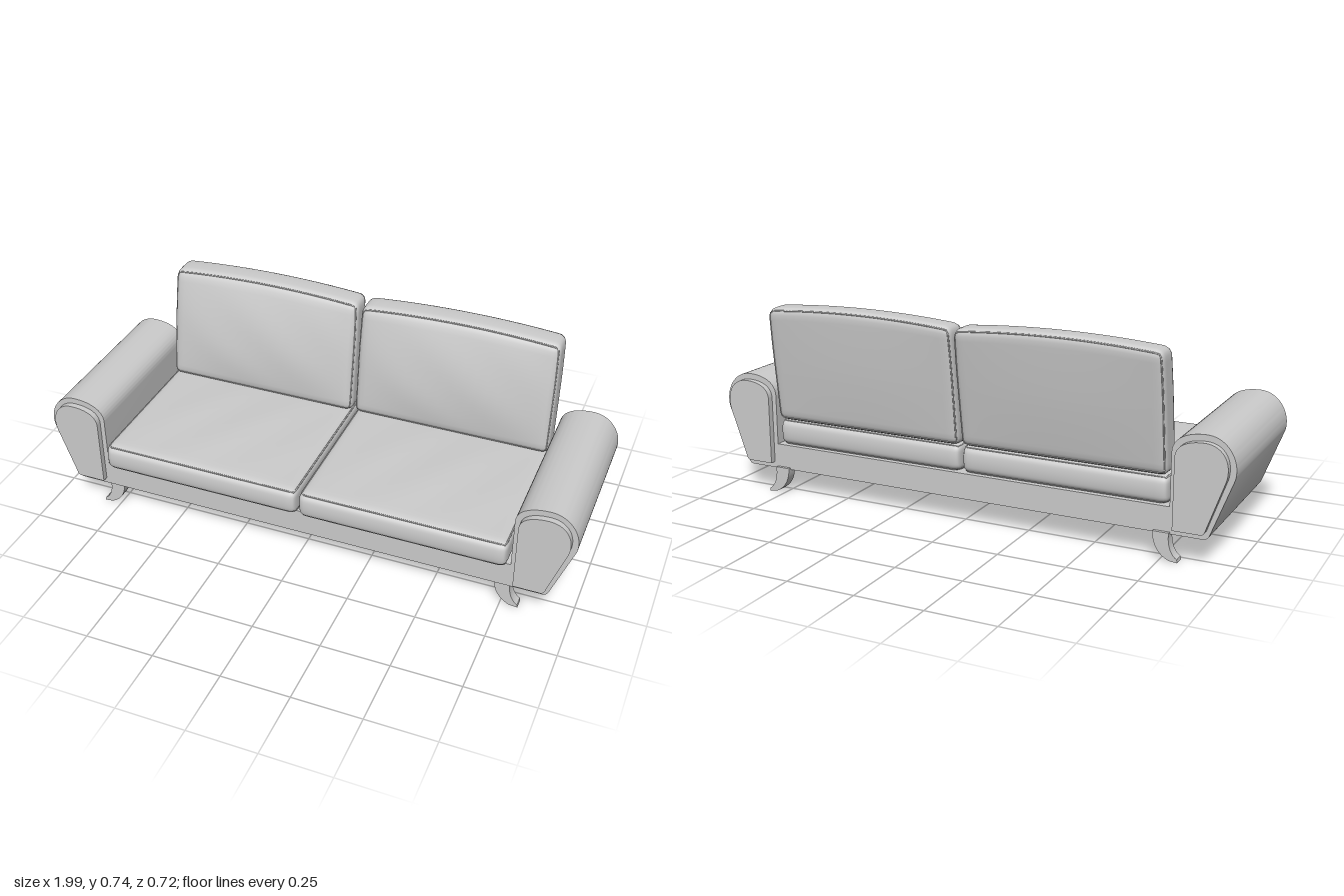
import * as THREE from 'three';
import { mergeVertices, toCreasedNormals } from 'three/addons/utils/BufferGeometryUtils.js';

const material = new THREE.MeshStandardMaterial({ color: 0xcccccc });

function add(parent, name, geometry) {
  const mesh = new THREE.Mesh(geometry, material);
  mesh.name = name;
  parent.add(mesh);
  return mesh;
}

// Maps a point of a unit cube (-1..1) onto a rounded box of half sizes h
function roundPoint(p, h, r) {
  const q = p.clone().multiply(h);
  const inner = new THREE.Vector3(h.x - r, h.y - r, h.z - r);
  const core = q.clone().clamp(inner.clone().negate(), inner);
  return core.add(q.sub(core).setLength(r));
}

// Soft cushion: rounded box swollen by a rule, with piping along two seams
function cushion(name, h, r, seamAxis, bend) {
  const group = new THREE.Group();
  group.name = name;
  const place = (p) => bend(roundPoint(p, h, r), p);

  let geometry = new THREE.BoxGeometry(2, 2, 2, 26, 20, 20);
  geometry.deleteAttribute('uv');
  geometry.deleteAttribute('normal');
  geometry = mergeVertices(geometry);
  const pos = geometry.attributes.position;
  const ease = (t) => Math.sin(t * Math.PI / 2);
  for (let i = 0; i < pos.count; i++) {
    const p = new THREE.Vector3(ease(pos.getX(i)), ease(pos.getY(i)), ease(pos.getZ(i)));
    const v = place(p);
    pos.setXYZ(i, v.x, v.y, v.z);
  }
  geometry.computeVertexNormals();
  add(group, 'cushionBody', geometry);

  // Piping follows the edges of the two large faces
  const corners = [[-1, -1], [1, -1], [1, 1], [-1, 1]];
  for (const side of [-1, 1]) {
    const points = [];
    for (let k = 0; k < 4; k++) {
      const [a, b] = corners[k], [c, d] = corners[(k + 1) % 4];
      for (let i = 0; i < 20; i++) {
        const t = (ease(i / 10 - 1) + 1) / 2;
        const s = a + (c - a) * t, u = b + (d - b) * t;
        points.push(place(seamAxis === 'z'
          ? new THREE.Vector3(s, u, side) : new THREE.Vector3(s, side, u)));
      }
    }
    const path = new THREE.CatmullRomCurve3(points, true);
    add(group, 'piping', new THREE.TubeGeometry(path, 160, 0.003, 6, true));
  }
  return group;
}

// Arm cross-section, mirrored by s and shrunk by d
function armShape(s, d) {
  const shape = new THREE.Shape();
  const b = 0.093 + d, t = 0.45 - d, inX = 0.778 + d * 0.8, outX = 1 - d;
  shape.moveTo(s * inX, b);
  shape.lineTo(s * (0.895 - d * 0.1), b);
  shape.quadraticCurveTo(s * (0.912 - d * 0.3), b, s * (0.919 - d * 0.4), b + 0.022);
  shape.lineTo(s * (outX - 0.007), 0.31);
  shape.bezierCurveTo(s * (outX + 0.01), 0.375, s * (0.965 - d / 2), t, s * 0.895, t);
  shape.bezierCurveTo(s * 0.835, t, s * inX, 0.43 - d, s * inX, 0.375 - d / 2);
  shape.closePath();
  return shape;
}

function extrude(shape, z0, z1, curveSegments) {
  const geometry = new THREE.ExtrudeGeometry(shape, { depth: z1 - z0, bevelEnabled: false, curveSegments });
  geometry.translate(0, 0, z0);
  return toCreasedNormals(geometry, 0.6);
}

// Curved foot sweeping outwards
function legShape(s) {
  const shape = new THREE.Shape();
  shape.moveTo(s * 0.725, 0.1);
  shape.bezierCurveTo(s * 0.725, 0.055, s * 0.745, 0.02, s * 0.785, 0.003);
  shape.lineTo(s * 0.815, 0);
  shape.lineTo(s * 0.813, 0.012);
  shape.bezierCurveTo(s * 0.79, 0.025, s * 0.778, 0.06, s * 0.782, 0.1);
  shape.closePath();
  return shape;
}

export function createModel() {
  const sofa = new THREE.Group();
  sofa.name = 'sofa';

  // Base frame
  const base = add(sofa, 'baseFrame', new THREE.BoxGeometry(1.57, 0.095, 0.623));
  base.position.set(0, 0.1405, 0.0165);

  for (const s of [-1, 1]) {
    const side = s > 0 ? 'left' : 'right';

    // Arm with a raised panel at each end
    const arm = new THREE.Group();
    arm.name = side + 'Arm';
    add(arm, 'armBody', extrude(armShape(s, 0), -0.295, 0.328, 24));
    add(arm, 'frontPanel', extrude(armShape(s, 0.022), 0.32, 0.35, 24));
    add(arm, 'backPanel', extrude(armShape(s, 0.022), -0.318, -0.287, 24));
    sofa.add(arm);

    // Legs
    add(sofa, side + 'FrontLeg', extrude(legShape(s), 0.284, 0.323, 10));
    add(sofa, side + 'BackLeg', extrude(legShape(s), -0.307, -0.267, 10));

    // Seat cushion, crowned on top and at the front
    const seat = cushion(side + 'SeatCushion', new THREE.Vector3(0.381, 0.052, 0.32), 0.026, 'y', (v, p) => {
      const u = 1 - p.x * p.x, w = 1 - p.z * p.z;
      v.y += Math.max(p.y, 0) * 0.008 * u * w;
      v.y += Math.max(p.y, 0) * 0.002 * Math.sin(9 * p.x + 4 * p.z) * u * w;
      v.z += p.z * 0.009 * (1 - p.y * p.y);
      return v;
    });
    seat.position.set(s * 0.386, 0.237, 0.034);
    sofa.add(seat);

    // Back cushion, leaning back with an arched top and a full front
    const lean = s > 0 ? 0.12 : 0.16;
    const back = cushion(side + 'BackCushion', new THREE.Vector3(0.379, 0.214, 0.054), 0.026, 'z', (v, p) => {
      const u = 1 - p.x * p.x, w = 1 - p.y * p.y;
      v.x *= 1 - 0.012 * Math.max(p.y, 0) ** 2;
      v.z += p.z > 0 ? p.z * 0.03 * Math.sqrt(u) * w : p.z * 0.005 * u * w;
      v.z += Math.max(p.z, 0) * 0.002 * Math.sin(7 * p.x + 5 * p.y) * u * w;
      v.z -= lean * (v.y + 0.06);
      v.y += Math.max(p.y, 0) * 0.018 * u + 0.004 * p.y * (1 - p.z * p.z);
      return v;
    });
    back.position.set(s * 0.384, 0.504, -0.266);
    sofa.add(back);
  }
  return sofa;
}
